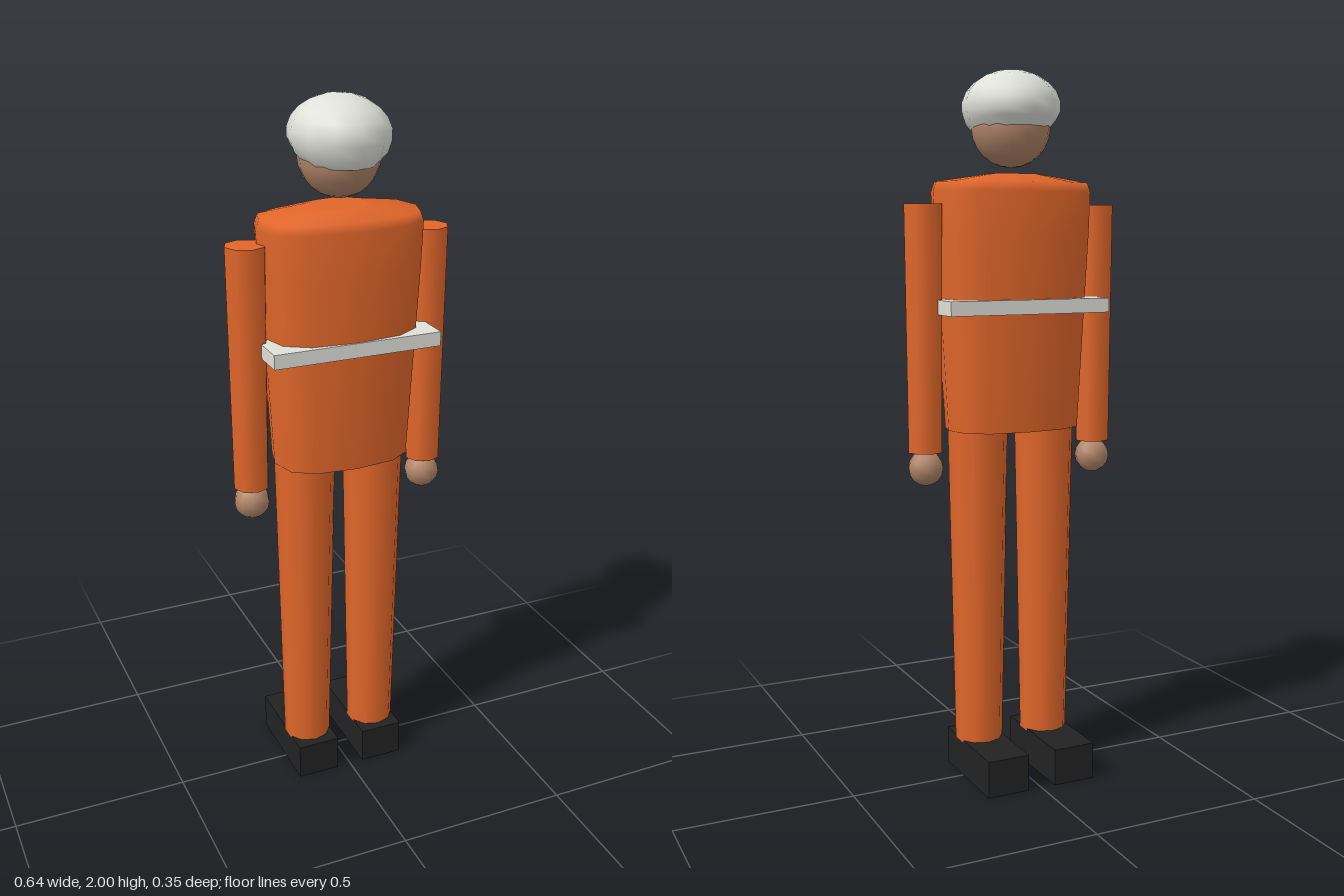
import * as THREE from 'three';

const MID_Z = 0.025; // the body stands slightly behind the boots

const mat = (name, color) => {
  const m = new THREE.MeshStandardMaterial({ color });
  m.name = name;
  return m;
};

// Closed loft through rounded-box rings [y, halfWidth, halfDepth]
function loft(rings, sides, power) {
  const pos = [], index = [];
  const soften = v => Math.sign(v) * Math.pow(Math.abs(v), power);
  const addRing = ([y, w, d]) => {
    const start = pos.length / 3;
    for (let i = 0; i < sides; i++) {
      const a = (i / sides) * Math.PI * 2;
      pos.push(w * soften(Math.cos(a)), y, d * soften(Math.sin(a)));
    }
    return start;
  };
  const starts = rings.map(addRing);
  for (let r = 0; r < rings.length - 1; r++) {
    for (let i = 0; i < sides; i++) {
      const j = (i + 1) % sides;
      const a = starts[r] + i, c = starts[r] + j;
      const b = starts[r + 1] + i, d = starts[r + 1] + j;
      index.push(a, b, c, b, d, c);
    }
  }
  // Caps have their own vertices, so their edges stay sharp
  for (const top of [false, true]) {
    const ring = top ? rings[rings.length - 1] : rings[0];
    const s = addRing(ring);
    for (let i = 1; i < sides - 1; i++) {
      if (top) index.push(s, s + i + 1, s + i);
      else index.push(s, s + i, s + i + 1);
    }
  }
  const g = new THREE.BufferGeometry();
  g.setAttribute('position', new THREE.Float32BufferAttribute(pos, 3));
  g.setIndex(index);
  g.computeVertexNormals();
  return g;
}

export function createModel() {
  const group = new THREE.Group();
  group.name = 'worker';

  const orange = mat('orange suit', 0xe0662a);
  const pale = mat('pale grey', 0xe0e0da);
  const skin = mat('skin', 0xb08468);
  const black = mat('black boots', 0x222222);
  pale.side = THREE.DoubleSide;

  const add = (name, geometry, material, x, y, z) => {
    const m = new THREE.Mesh(geometry, material);
    m.name = name;
    m.position.set(x, y, z);
    group.add(m);
    return m;
  };

  // Torso with sloping shoulders
  const torso = loft([
    [1.01, 0.193, 0.125],
    [1.35, 0.213, 0.133],
    [1.55, 0.226, 0.135],
    [1.67, 0.234, 0.128],
    [1.695, 0.224, 0.124],
    [1.718, 0.075, 0.07],
  ], 12, 0.75);
  add('torso', torso, orange, 0, 0, MID_Z);

  // Reflective chest band
  add('chestBand', new THREE.BoxGeometry(0.48, 0.04, 0.273), pale, 0, 1.357, MID_Z);

  // Head
  add('head', new THREE.SphereGeometry(0.11, 16, 12), skin, 0, 1.845, MID_Z);

  // Open helmet, its rim raised a little over the face
  const helmet = new THREE.SphereGeometry(1, 12, 8, 0, Math.PI * 2, 0, Math.PI * 0.725);
  helmet.scale(0.135, 0.1, 0.149);
  const p = helmet.attributes.position;
  for (let i = 0; i < p.count; i++) {
    if (p.getY(i) < -0.02) p.setY(i, p.getY(i) - p.getZ(i) * 0.09);
  }
  helmet.computeVertexNormals();
  add('helmet', helmet, pale, 0, 1.9, MID_Z);

  // Limbs, mirrored
  for (const [side, s] of [['left', 1], ['right', -1]]) {
    add(side + 'Arm', new THREE.CylinderGeometry(0.056, 0.05, 0.68, 8), orange, s * 0.263, 1.295, MID_Z);
    add(side + 'Hand', new THREE.SphereGeometry(0.05, 10, 8), skin, s * 0.263, 0.91, MID_Z);
    add(side + 'Leg', new THREE.CylinderGeometry(0.085, 0.068, 0.92, 10), orange, s * 0.104, 0.56, MID_Z);
    add(side + 'Boot', new THREE.BoxGeometry(0.124, 0.105, 0.295), black, s * 0.103, 0.0525, -0.031);
  }

  return group;
}
